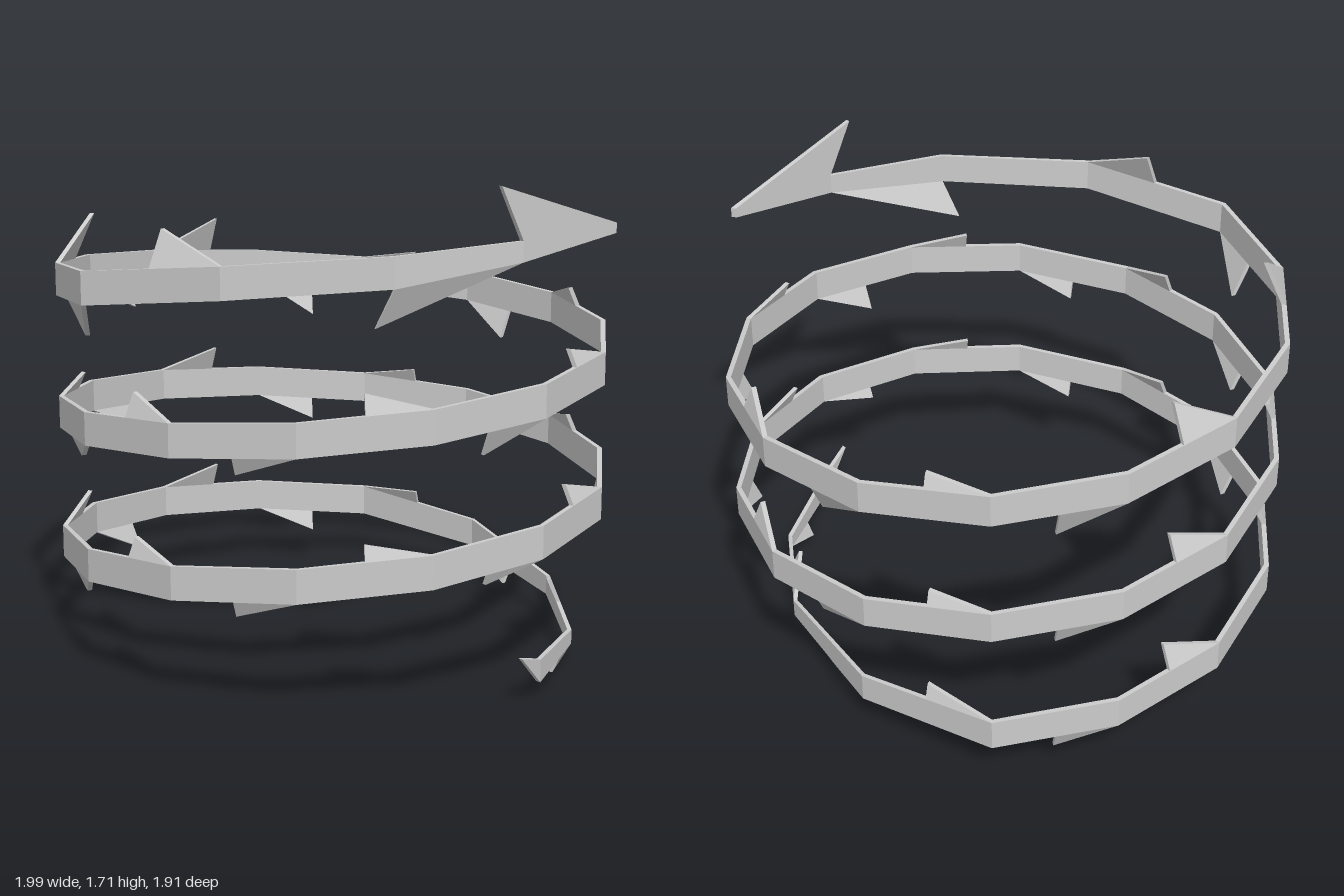
import * as THREE from 'three';

const CX = -0.02, R = 0.98, SIDES = 14, BAND = 0.115;
const WALL = 0.982; // inner skin = outer skin scaled about the axis

// closed slab from a convex outline, counter-clockwise as seen from outside
function slab(outline) {
  const inner = outline.map(p => new THREE.Vector3(CX + (p.x - CX) * WALL, p.y, p.z * WALL));
  const out = [];
  const tri = (...v) => v.forEach(p => out.push(p.x, p.y, p.z));
  const n = outline.length;
  for (let i = 1; i < n - 1; i++) {
    tri(outline[0], outline[i], outline[i + 1]);
    tri(inner[0], inner[i + 1], inner[i]);
  }
  for (let i = 0; i < n; i++) {
    const j = (i + 1) % n;
    tri(outline[i], inner[i], inner[j]);
    tri(outline[i], inner[j], outline[j]);
  }
  const g = new THREE.BufferGeometry();
  g.setAttribute('position', new THREE.Float32BufferAttribute(out, 3));
  g.computeVertexNormals();
  return g;
}

// thorn on one edge of a segment: base at t, tip at tipT, running out to the segment end
function thorn(a, b, h, { t = 0.5, tipT = t, lean = 0.45 } = {}) {
  const base = a.clone().lerp(b, t);
  const tip = a.clone().lerp(b, tipT);
  const radial = new THREE.Vector3(tip.x - CX, 0, tip.z).normalize();
  tip.addScaledVector(radial, -lean * Math.abs(h));
  tip.y += h;
  return slab(h > 0 ? [base, b, tip] : [base, tip, b]);
}

export function createModel() {
  const group = new THREE.Group();
  group.name = 'thornySpiral';
  const material = new THREE.MeshStandardMaterial({ color: 0xcccccc, flatShading: true });
  const add = (geometry, name) => {
    const mesh = new THREE.Mesh(geometry, material);
    mesh.name = name;
    group.add(mesh);
  };

  // stations along the vine: x, z, bottom y, top y
  const stations = [
    [0.96, 0, 0.06, 0.14],
    [0.79, -0.37, 0.065, 0.115],
    [0.44, -0.67, 0.10, 0.17],
    [-0.10, -0.85, 0.14, 0.245],
  ];
  for (let k = -2; k <= 31; k++) {
    const a = (k / SIDES) * Math.PI * 2;
    const y = 0.25 + k * 0.0339;
    stations.push([CX - R * Math.cos(a), R * Math.sin(a), y, y + BAND]);
  }
  stations.push(
    [0.28, 0.80, 1.36, 1.47],
    [0.68, 0.42, 1.40, 1.505],
    [0.85, 0, 1.46, 1.53],
    [0.89, -0.43, 1.52, 1.555],
  );

  // thorn heights per segment: positive on the upper edge, negative on the lower
  const heights = [
    -0.055, 0.08, -0.055, 0.05, -0.07, 0.09,
    -0.09, 0.09, -0.085, 0.065, -0.055, 0.05, -0.04, 0.07, -0.07, 0.065, -0.045, 0.05, -0.075, 0.09,
    -0.09, 0.06, -0.07, 0.08, -0.06, 0.065, -0.085, 0.06, -0.09, 0.07, -0.1, 0.05, -0.12, 0.13,
    -0.09, 0.165, -0.125, 0.125, 0, -0.125, 0.19,
  ];

  const last = stations.length - 2;
  const special = {
    0: { t: 0.6 },
    [last - 1]: { t: 0, tipT: -0.12 },
    [last]: { t: 0, tipT: -0.23, lean: 0 },
  };

  const low = s => new THREE.Vector3(s[0], s[2], s[1]);
  const high = s => new THREE.Vector3(s[0], s[3], s[1]);

  for (let i = 0; i <= last; i++) {
    const s = stations[i], e = stations[i + 1], h = heights[i];
    add(slab([low(s), low(e), high(e), high(s)]), 'bandSegment');
    if (h) {
      const edge = h > 0 ? high : low;
      add(thorn(edge(s), edge(e), h, special[i]), i === last ? 'headBarb' : 'thorn');
    }
  }

  // pointed tail at the lower end
  add(slab([new THREE.Vector3(0.99, 0.18, 0.13), low(stations[0]), high(stations[0])]), 'tailTip');
  return group;
}
